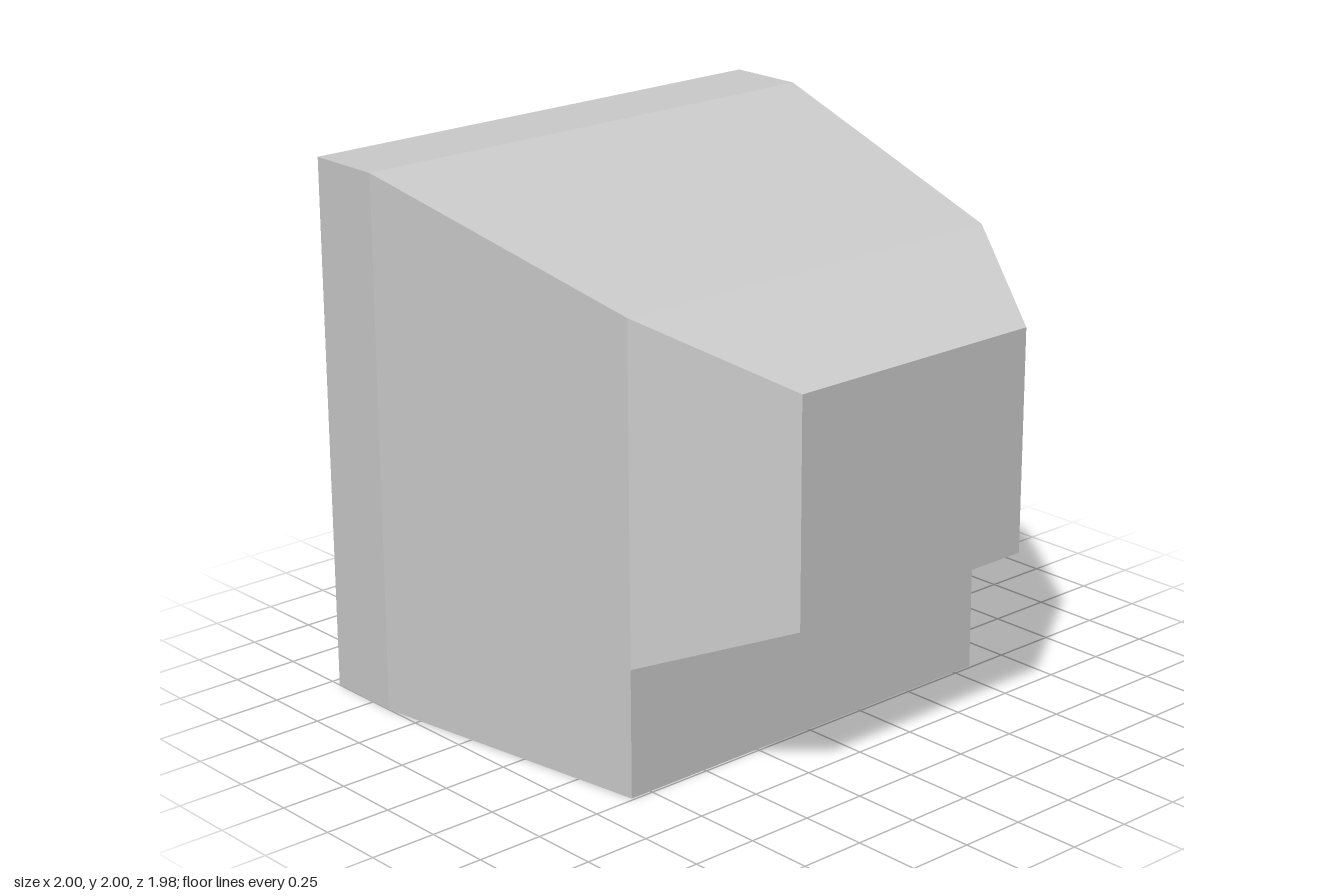
import * as THREE from 'three';

// Skins a row of rectangles [z, halfWidth, bottom, top] with flat quads.
function loft(name, rings, capStart, capEnd) {
  const corners = rings.map(([z, w, y0, y1]) => [[-w, y0, z], [w, y0, z], [w, y1, z], [-w, y1, z]]);
  const pos = [];
  const quad = (a, b, c, d) => pos.push(...a, ...b, ...c, ...a, ...c, ...d);
  for (let r = 0; r < corners.length - 1; r++) {
    const a = corners[r], b = corners[r + 1];
    for (let i = 0; i < 4; i++) {
      const j = (i + 1) % 4;
      quad(a[i], a[j], b[j], b[i]);
    }
  }
  if (capStart) quad(...corners[0].slice().reverse());
  if (capEnd) quad(...corners[corners.length - 1]);
  const geo = new THREE.BufferGeometry();
  geo.setAttribute('position', new THREE.Float32BufferAttribute(pos, 3));
  geo.computeVertexNormals();
  const mesh = new THREE.Mesh(geo, new THREE.MeshStandardMaterial({ color: 0xcccccc, flatShading: true }));
  mesh.name = name;
  return mesh;
}

export function createModel() {
  const group = new THREE.Group();
  group.name = 'taperedBlock';
  const back = -0.955, floor = -0.88, front = 0.49;

  // Main body: recess walls, flat back rim, straight band, then taper to the front
  group.add(loft('body', [
    [floor, 0.71, 0.29, 1.71],
    [back, 0.71, 0.29, 1.71],
    [back, 1, 0, 2],
    [-0.655, 1, 0, 2],
    [front, 0.835, 0, 1.71],
  ], false, true));

  // Front nose: bevelled block overhanging the lower front face
  group.add(loft('frontNose', [
    [front, 0.835, 0.475, 1.71],
    [0.99, 0.53, 0.68, 1.505],
  ], false, true));

  // Raised pyramid panel filling the back recess
  group.add(loft('backPanel', [
    [-0.99, 0.31, 0.69, 1.31],
    [floor, 0.71, 0.29, 1.71],
  ], true, false));

  return group;
}
